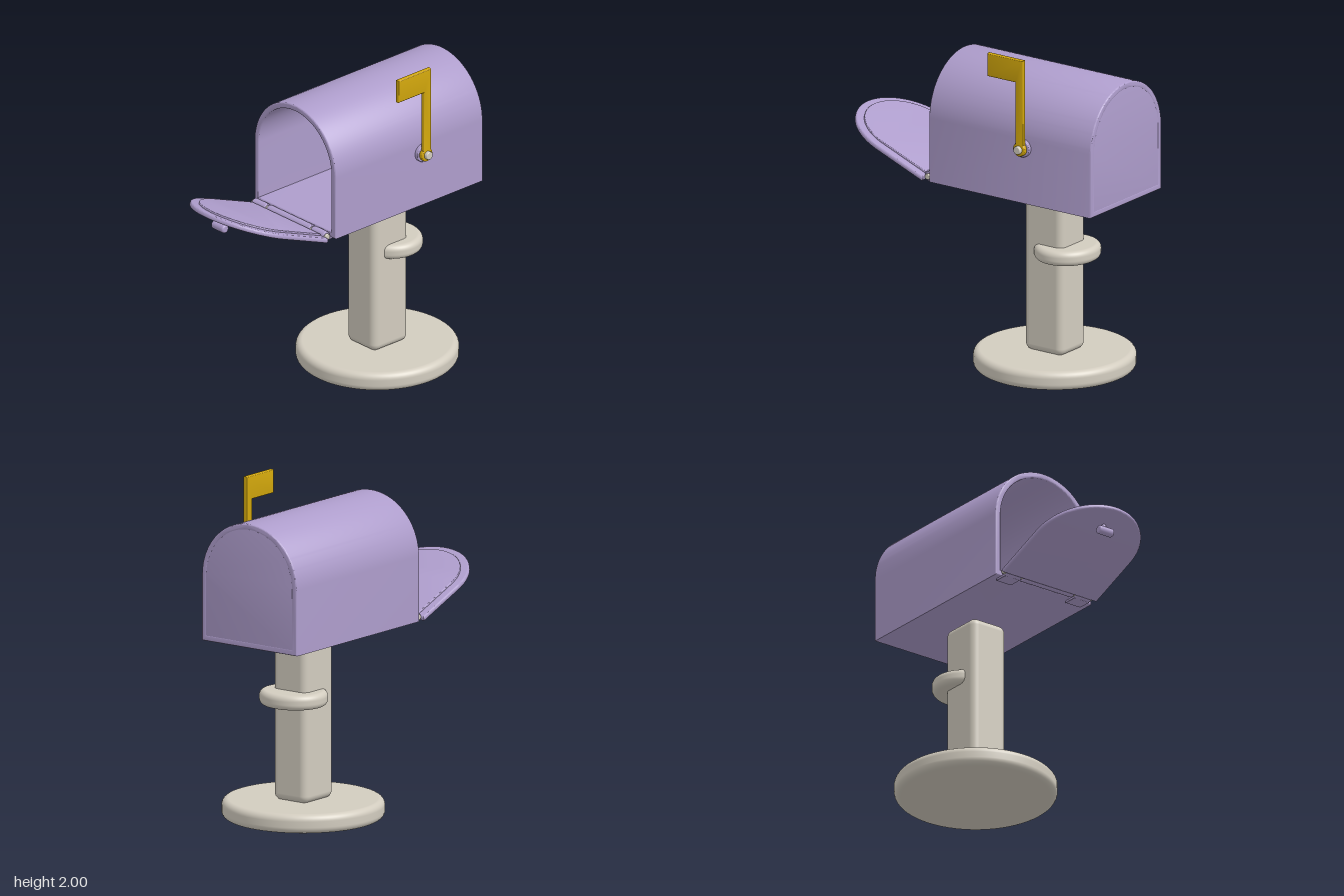
import * as THREE from 'three';
import { toCreasedNormals } from 'three/addons/utils/BufferGeometryUtils.js';
import { RoundedBoxGeometry } from 'three/addons/geometries/RoundedBoxGeometry.js';

const purple = new THREE.MeshStandardMaterial({ color: 0xae9dcc });
purple.name = 'lilac paint';
const cream = new THREE.MeshStandardMaterial({ color: 0xd2ccbf });
cream.name = 'cream';
const gold = new THREE.MeshStandardMaterial({ color: 0xd2a70c });
gold.name = 'flag gold';

function add(parent, name, geometry, material, x = 0, y = 0, z = 0) {
  const mesh = new THREE.Mesh(geometry, material);
  mesh.name = name;
  mesh.position.set(x, y, z);
  parent.add(mesh);
  return mesh;
}

// Arch outline: straight sides from y0 to y1, half circle of radius r on top
function trace(path, r, y0, y1) {
  path.moveTo(-r, y0);
  path.lineTo(r, y0);
  path.lineTo(r, y1);
  path.absarc(0, y1, r, 0, Math.PI, false);
  path.lineTo(-r, y0);
  return path;
}

// Extrusion that keeps the drawn outline and fills z = 0..depth, bevel included
function slab(shape, depth, bevel) {
  const geometry = new THREE.ExtrudeGeometry(shape, {
    depth: depth - 2 * bevel, curveSegments: 40, bevelEnabled: true,
    bevelSize: bevel, bevelThickness: bevel, bevelOffset: -bevel, bevelSegments: 3,
  });
  return toCreasedNormals(geometry.translate(0, 0, bevel), 0.6);
}

// Solid disc around y with rounded rims, centred on its height
function roundedDisc(radius, height, round, sides = 64) {
  const h = height / 2;
  const points = [new THREE.Vector2(0, -h)];
  for (const s of [-1, 1]) {
    for (let i = 0; i <= 8; i++) {
      const a = (s < 0 ? -1 + i / 8 : i / 8) * Math.PI / 2;
      points.push(new THREE.Vector2(radius - round + round * Math.cos(a), s * (h - round) + round * Math.sin(a)));
    }
  }
  points.push(new THREE.Vector2(0, h));
  return new THREE.LatheGeometry(points, sides);
}

// Rounded rod lying along x
const rod = (radius, length, round) => roundedDisc(radius, length, round, 32).rotateZ(-Math.PI / 2);

export function createModel() {
  const model = new THREE.Group();
  model.name = 'mailbox';
  const postZ = -0.427;

  // Stand
  add(model, 'base', roundedDisc(0.48, 0.115, 0.04), cream, 0, 0.0575, postZ);
  add(model, 'post', new RoundedBoxGeometry(0.25, 0.98, 0.28, 6, 0.045), cream, 0, 0.6, postZ);
  add(model, 'postCollar', roundedDisc(0.208, 0.09, 0.035).scale(1, 1, 0.92), cream, 0, 0.737, -0.52);

  // Box: open arched shell closed at the rear
  const outline = trace(new THREE.Shape(), 0.352, 1.103, 1.497);
  outline.holes.push(trace(new THREE.Path(), 0.315, 1.14, 1.497));
  add(model, 'shell', slab(outline, 1.175, 0.008), purple, 0, 0, -0.945);
  add(model, 'backWall', slab(trace(new THREE.Shape(), 0.34, 1.115, 1.497), 0.035, 0.003), purple, 0, 0, -0.944);
  add(model, 'innerBar', new RoundedBoxGeometry(0.45, 0.08, 0.08, 5, 0.035), cream, 0, 1.68, -0.87);

  // Door, hung open at the lower front edge
  const door = new THREE.Group();
  door.name = 'door';
  door.position.set(0, 1.093, 0.288);
  door.rotation.x = 1.195;
  model.add(door);
  add(door, 'doorPlate', slab(trace(new THREE.Shape(), 0.345, 0, 0.357), 0.03, 0.01), purple, 0, 0, -0.03);
  add(door, 'doorLiner', slab(trace(new THREE.Shape(), 0.295, 0.025, 0.357), 0.016, 0.004), purple, 0, 0, -0.041);
  const stem = new THREE.CylinderGeometry(0.013, 0.013, 0.05, 20).rotateX(Math.PI / 2);
  add(door, 'handleStem', stem, purple, 0, 0.561, 0.022);
  add(door, 'handleGrip', rod(0.026, 0.105, 0.012), purple, 0, 0.561, 0.046);

  // Hinge
  const hingeY = 1.12, hingeZ = 0.264;
  add(model, 'hingePin', rod(0.018, 0.65, 0.005), cream, 0, hingeY, hingeZ);
  add(model, 'hingeMiddleBarrel', rod(0.029, 0.37, 0.005), purple, 0, hingeY, hingeZ);
  for (const side of [-1, 1]) {
    add(model, 'hingeSideBarrel', rod(0.029, 0.11, 0.005), purple, side * 0.255, hingeY, hingeZ);
    add(model, 'hingeLeaf', new RoundedBoxGeometry(0.11, 0.016, 0.09, 2, 0.004), purple, side * 0.255, 1.098, 0.222);
  }

  // Signal flag on the left side
  const flag = new THREE.Group();
  flag.name = 'flag';
  flag.position.set(0, 1.447, -0.457);
  model.add(flag);
  add(flag, 'flagMount', rod(0.054, 0.03, 0.005), purple, 0.36);
  add(flag, 'flagBolt', rod(0.025, 0.06, 0.006), cream, 0.394);

  // Arm and blade in one outline, drawn with +x pointing to the rear
  const f = new THREE.Shape();
  f.moveTo(0.03, 0.03);
  f.lineTo(0.03, 0.553);
  f.lineTo(-0.229, 0.553);
  f.lineTo(-0.229, 0.411);
  f.lineTo(-0.027, 0.411);
  f.lineTo(-0.027, 0.03);
  f.absarc(0, 0, 0.042, Math.PI * 0.75, Math.PI * 2.25, false);
  add(flag, 'flagArm', slab(f, 0.028, 0.006).rotateY(Math.PI / 2), gold, 0.374);

  return model;
}
